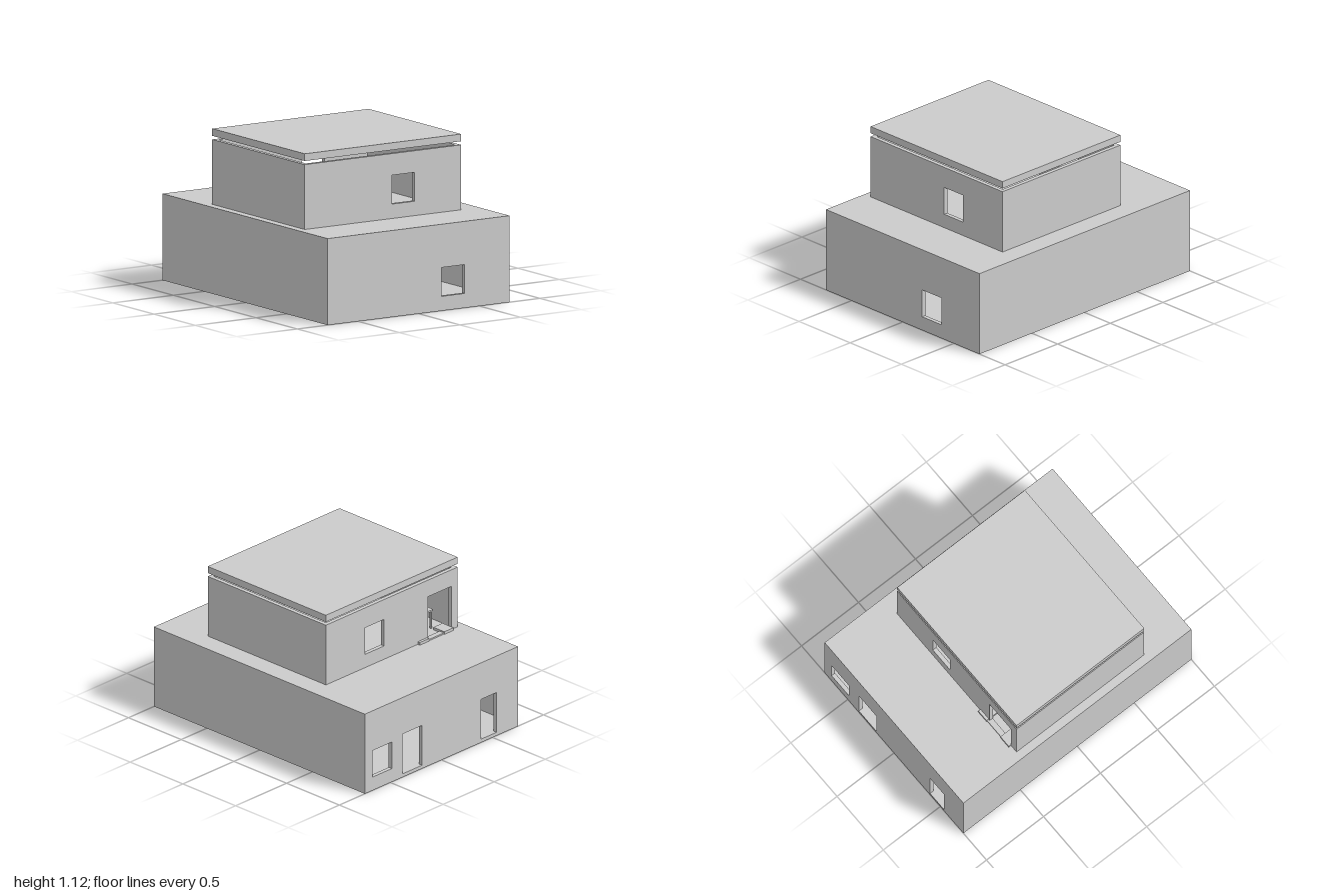
import * as THREE from 'three';

const grey = new THREE.MeshStandardMaterial({ color: 0xcccccc, flatShading: true });
const T = 0.03; // wall thickness

// Box given by its min and max corners
function block(parent, name, [x0, y0, z0], [x1, y1, z1]) {
  const mesh = new THREE.Mesh(new THREE.BoxGeometry(x1 - x0, y1 - y0, z1 - z0), grey);
  mesh.position.set((x0 + x1) / 2, (y0 + y1) / 2, (z0 + z1) / 2);
  mesh.name = name;
  parent.add(mesh);
}

// Wall along x; doors [x0, x1, top] cut up from its foot (left to right), windows [x0, x1, y0, y1] are holes
function wall(parent, name, [x0, x1], [y0, y1], z, doors = [], windows = []) {
  const shape = new THREE.Shape();
  shape.moveTo(x0, y0);
  for (const [a, b, top] of doors) {
    shape.lineTo(a, y0);
    shape.lineTo(a, top);
    shape.lineTo(b, top);
    shape.lineTo(b, y0);
  }
  shape.lineTo(x1, y0);
  shape.lineTo(x1, y1);
  shape.lineTo(x0, y1);
  for (const [a, b, c, d] of windows) {
    shape.holes.push(new THREE.Path([[a, c], [a, d], [b, d], [b, c]].map(p => new THREE.Vector2(...p))));
  }
  const mesh = new THREE.Mesh(new THREE.ExtrudeGeometry(shape, { depth: T, bevelEnabled: false }), grey);
  mesh.position.z = z;
  mesh.name = name;
  parent.add(mesh);
}

export function createModel() {
  const model = new THREE.Group();
  model.name = 'house';

  // Ground storey: floor, ceiling slab, walls and a partition
  const lower = new THREE.Group();
  lower.name = 'groundStorey';
  const ly = [0.025, 0.575];
  block(lower, 'groundFloor', [-0.75, 0, -1], [0.75, ly[0], 1]);
  block(lower, 'terraceSlab', [-0.75, ly[1], -1], [0.75, 0.6, 1]);
  block(lower, 'leftWall', [0.75 - T, ly[0], -1 + T], [0.75, ly[1], 1 - T]);
  block(lower, 'rightWall', [-0.75, ly[0], -1 + T], [-0.75 + T, ly[1], 1 - T]);
  wall(lower, 'frontWall', [-0.75, 0.75], ly, 1 - T, [], [[0.19, 0.38, 0.1, 0.3]]);
  wall(lower, 'backWall', [-0.75, 0.75], ly, -1,
    [[-0.54, -0.39, 0.325], [0.19, 0.38, 0.325]], [[0.485, 0.675, 0.1, 0.3]]);
  wall(lower, 'partition', [-0.75 + T, 0.75 - T], ly, -0.41, [[0.21, 0.36, 0.325]]);
  model.add(lower);

  // Upper storey, open under the raised roof
  const upper = new THREE.Group();
  upper.name = 'upperStorey';
  const [xa, xb, za, zb] = [-0.69, 0.6, -0.485, 0.635];
  const uy = [0.6, 1.05];
  const pane = [0.03, 0.215, 0.7, 0.9];
  block(upper, 'leftWall', [xb - T, uy[0], za + T], [xb, uy[1], zb - T]);
  block(upper, 'rightWall', [xa, uy[0], za + T], [xa + T, uy[1], zb - T]);
  wall(upper, 'frontWall', [xa, xb], uy, zb - T, [], [pane]);
  wall(upper, 'backWall', [xa, xb], uy, za, [[-0.628, -0.4, 0.925]], [pane]);
  block(upper, 'roof', [xa, 1.075, za], [xb, 1.125, zb]);
  model.add(upper);

  // Low threshold pieces at the terrace doorway
  const step = new THREE.Group();
  step.name = 'threshold';
  block(step, 'thresholdEnd', [-0.63, 0.6, -0.505], [-0.54, 0.62, -0.4]);
  block(step, 'thresholdEnd', [-0.39, 0.6, -0.505], [-0.3, 0.62, -0.4]);
  block(step, 'thresholdBar', [-0.54, 0.6, -0.5], [-0.39, 0.61, -0.46]);
  model.add(step);

  // Small table just inside the doorway
  const table = new THREE.Group();
  table.name = 'table';
  block(table, 'tableTop', [-0.56, 0.73, -0.38], [-0.42, 0.742, -0.24]);
  for (const x of [-0.555, -0.437]) {
    for (const z of [-0.375, -0.257]) {
      block(table, 'tableLeg', [x, 0.6, z], [x + 0.012, 0.73, z + 0.012]);
    }
  }
  model.add(table);

  return model;
}
